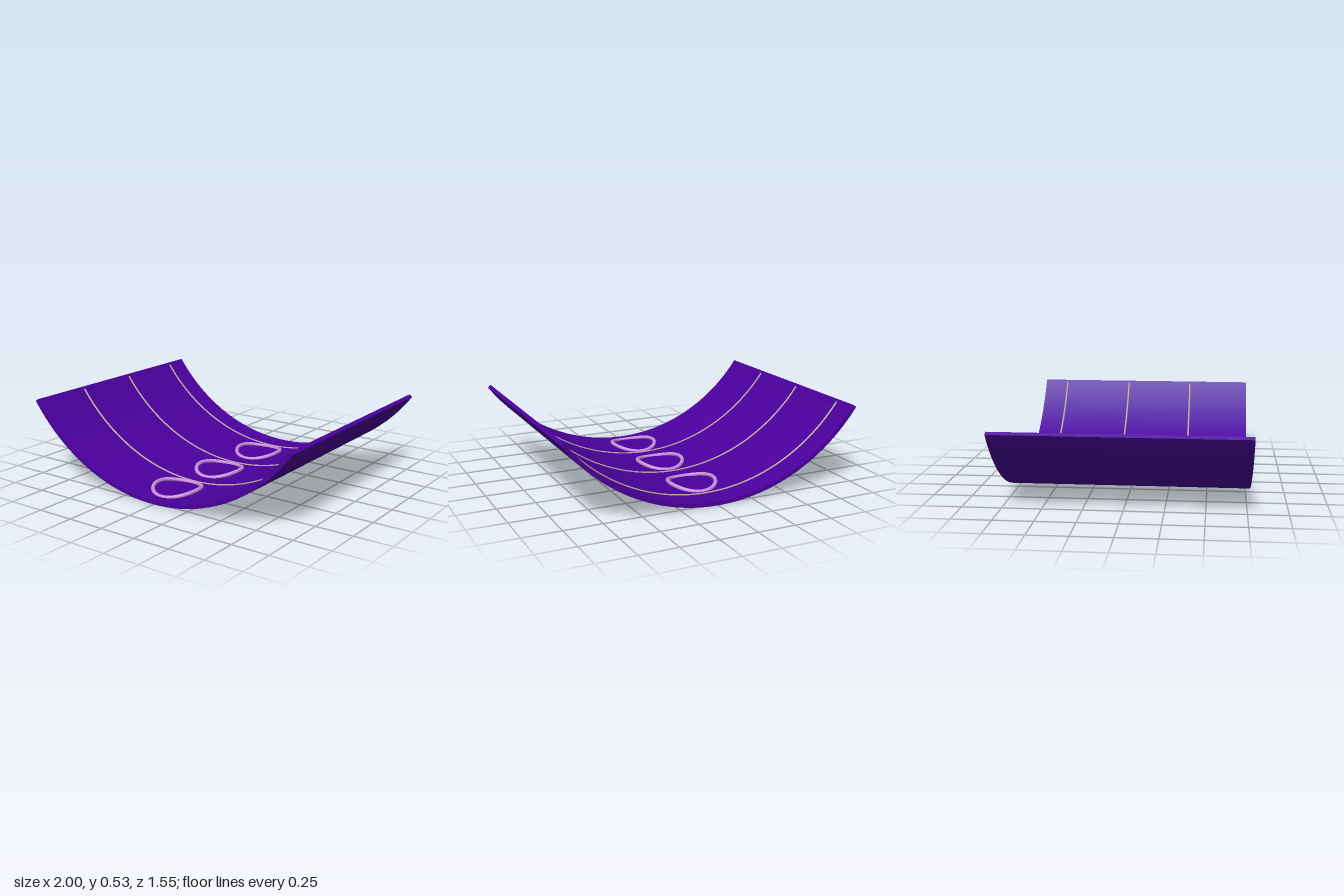
import * as THREE from 'three';
import { toCreasedNormals } from 'three/addons/utils/BufferGeometryUtils.js';

const R = 1.232;          // outer radius of the curved sheet
const THICK = 0.025;
const HALF = Math.asin(1 / R);
const LENGTH = 1.55;

const purple = new THREE.MeshStandardMaterial({ color: 0x4b009e });
purple.name = 'deep purple';
const lilac = new THREE.MeshStandardMaterial({ color: 0xcc8fe0 });
lilac.name = 'lilac';
const taupe = new THREE.MeshStandardMaterial({ color: 0xb8a09c });
taupe.name = 'pale taupe';

function add(group, name, geometry, material) {
  const mesh = new THREE.Mesh(geometry, material);
  mesh.name = name;
  group.add(mesh);
  return mesh;
}

export function createModel() {
  const model = new THREE.Group();
  model.name = 'curvedPanel';

  // Curved sheet: an arc-shaped section extruded along z
  const section = new THREE.Shape();
  const down = -Math.PI / 2;
  section.absarc(0, R, R, down - HALF, down + HALF, false);
  section.absarc(0, R, R - THICK, down + HALF, down - HALF, true);
  const sheet = new THREE.ExtrudeGeometry(section, { depth: LENGTH, bevelEnabled: false, curveSegments: 32 });
  sheet.translate(0, 0, -LENGTH / 2);
  add(model, 'curvedSheet', toCreasedNormals(sheet, 0.5), purple);

  // Thin seams following the inner face
  const inner = R - THICK;
  const reach = Math.asin(0.967 / inner);
  const seamPoints = [];
  for (let i = 0; i <= 24; i++) {
    const a = reach * (i / 12 - 1);
    seamPoints.push(new THREE.Vector3(inner * Math.sin(a), R - inner * Math.cos(a), 0));
  }
  const seam = new THREE.TubeGeometry(new THREE.CatmullRomCurve3(seamPoints), 80, 0.007, 8);
  for (const z of [-0.608, -0.127, 0.345]) {
    add(model, 'seam', seam, taupe).position.z = z;
  }

  // Oval rings whose sides curl up from the sheet
  const ringPoints = [];
  for (let i = 0; i < 32; i++) {
    const a = (i / 32) * Math.PI * 2;
    ringPoints.push(new THREE.Vector3(0.154 * Math.cos(a), 0.025 + 0.028 * Math.cos(a) ** 2, 0.16 * Math.sin(a)));
  }
  const ring = new THREE.TubeGeometry(new THREE.CatmullRomCurve3(ringPoints, true), 64, 0.013, 8, true);
  for (const z of [-0.41, 0.072, 0.532]) {
    add(model, 'ring', ring, lilac).position.z = z;
  }
  return model;
}
